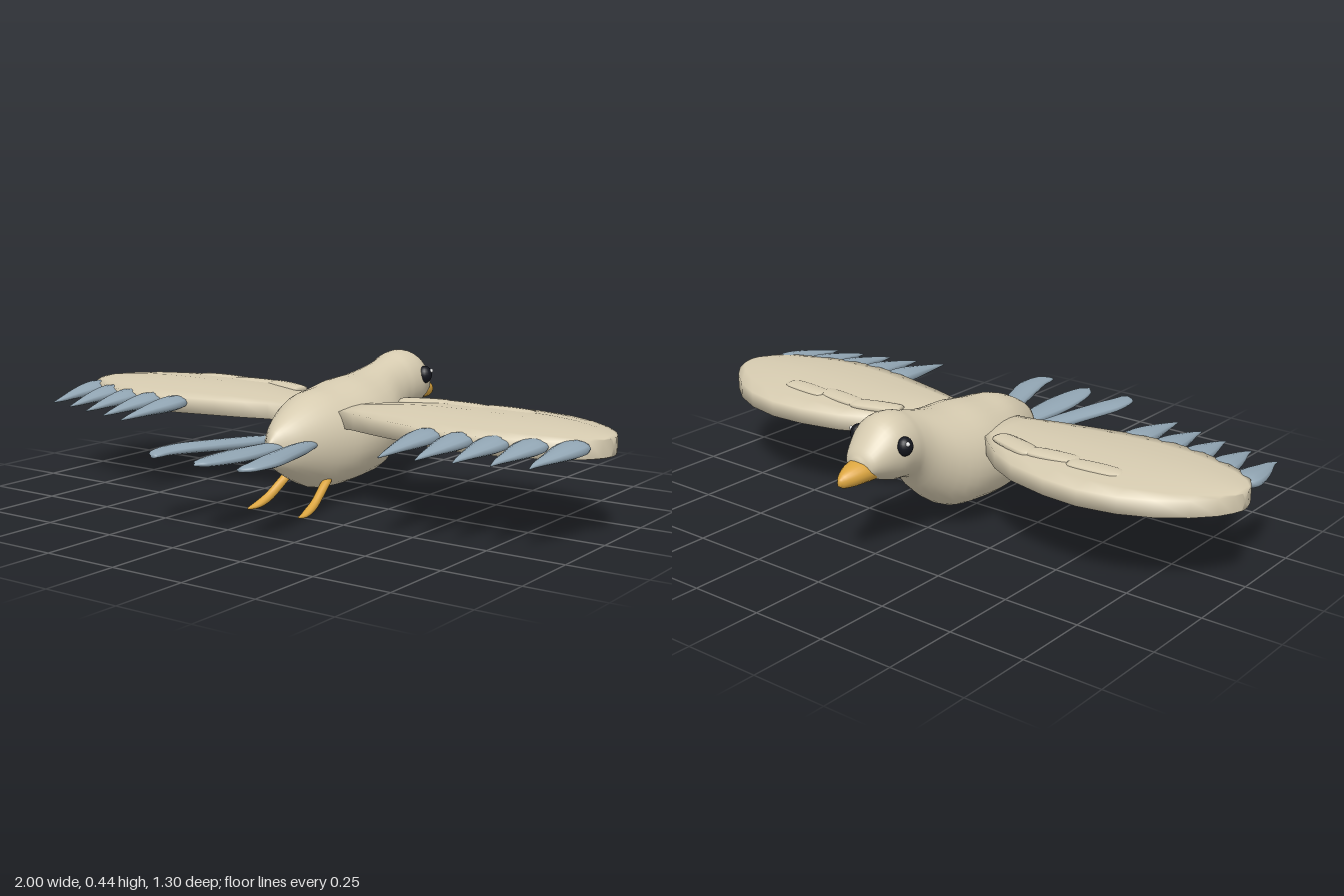
import * as THREE from 'three';

const mat = (name, color, side = THREE.FrontSide) => {
  const m = new THREE.MeshStandardMaterial({ color, side });
  m.name = name;
  return m;
};

// Skin a list of closed rings, closing both ends with a fan
function loft(rings) {
  const n = rings[0].length, pos = [], idx = [];
  rings.forEach(r => r.forEach(p => pos.push(p.x, p.y, p.z)));
  for (let i = 0; i < rings.length - 1; i++) {
    for (let j = 0; j < n; j++) {
      const a = i * n + j, b = i * n + (j + 1) % n;
      idx.push(a, b, b + n, a, b + n, a + n);
    }
  }
  [0, rings.length - 1].forEach(k => {
    const c = new THREE.Vector3();
    rings[k].forEach(p => c.addScaledVector(p, 1 / n));
    const ci = pos.length / 3;
    pos.push(c.x, c.y, c.z);
    for (let j = 0; j < n; j++) {
      const a = k * n + j, b = k * n + (j + 1) % n;
      if (k === 0) idx.push(ci, b, a);
      else idx.push(ci, a, b);
    }
  });
  const g = new THREE.BufferGeometry();
  g.setAttribute('position', new THREE.Float32BufferAttribute(pos, 3));
  g.setIndex(idx);
  g.computeVertexNormals();
  return g;
}

// Elliptical sections [x, y, z, radiusX, radiusY] in order of rising z
function sections(list, sides, steps) {
  const at = new THREE.CatmullRomCurve3(list.map(s => new THREE.Vector3(s[0], s[1], s[2])), false, 'centripetal');
  const rad = new THREE.SplineCurve(list.map(s => new THREE.Vector2(s[3], s[4])));
  const rings = [];
  for (let i = 0; i <= steps; i++) {
    const c = at.getPoint(i / steps), r = rad.getPoint(i / steps), ring = [];
    const rx = Math.max(r.x, 0.002), ry = Math.max(r.y, 0.002);
    for (let j = 0; j < sides; j++) {
      const a = j / sides * Math.PI * 2;
      ring.push(new THREE.Vector3(c.x + rx * Math.cos(a), c.y + ry * Math.sin(a), c.z));
    }
    rings.push(ring);
  }
  return loft(rings);
}

// Wing stations: x, leading z, trailing z
const WING = [
  [0.1, -0.1, 0.075], [0.17, -0.165, 0.085], [0.25, -0.23, 0.11], [0.35, -0.28, 0.134],
  [0.49, -0.311, 0.166], [0.61, -0.318, 0.178], [0.73, -0.295, 0.165], [0.83, -0.25, 0.135],
  [0.91, -0.19, 0.1], [0.965, -0.13, 0.055], [0.99, -0.085, 0.015], [1, -0.055, -0.02],
];

function wingGeometry(s) {
  const ts = [0, 0.12, 0.3, 0.5, 0.7, 0.88, 1];
  const rings = WING.map(([x, lead, trail]) => {
    const half = t => 0.026 + 0.026 * Math.sin(Math.PI * t) * Math.min(1, (trail - lead) / 0.45);
    const pt = (t, up) => new THREE.Vector3(s * x, 0.289 + up * half(t), lead + (trail - lead) * t);
    return [...ts.map(t => pt(t, 1)), ...ts.slice().reverse().map(t => pt(t, -1))];
  });
  return loft(s > 0 ? rings : rings.reverse());
}

export function createModel() {
  const bird = new THREE.Group();
  bird.name = 'bird';
  const cream = mat('cream plumage', 0xd6cbb0);
  const slate = mat('slate feathers', 0x91a5b3);
  const gold = mat('golden beak and legs', 0xdba53f);
  const black = mat('black eye', 0x14161e);
  const white = mat('white glint', 0xffffff);

  const add = (name, geometry, material, parent = bird) => {
    const m = new THREE.Mesh(geometry, material);
    m.name = name;
    parent.add(m);
    return m;
  };

  // Body and head: z, top, bottom, half width
  const profile = [
    [-0.575, 0.335, 0.29, 0.02], [-0.56, 0.36, 0.275, 0.052], [-0.53, 0.395, 0.262, 0.072],
    [-0.49, 0.432, 0.248, 0.09], [-0.45, 0.446, 0.235, 0.1], [-0.4, 0.443, 0.228, 0.098],
    [-0.36, 0.43, 0.21, 0.095], [-0.3, 0.415, 0.143, 0.11], [-0.2, 0.396, 0.07, 0.158],
    [-0.1, 0.39, 0.057, 0.175], [0, 0.375, 0.052, 0.168], [0.08, 0.368, 0.056, 0.143],
    [0.15, 0.345, 0.085, 0.113], [0.22, 0.308, 0.122, 0.075], [0.27, 0.272, 0.152, 0.035],
    [0.297, 0.236, 0.185, 0.006],
  ];
  add('body', sections(profile.map(([z, t, b, w]) => [0, (t + b) / 2, z, w, (t - b) / 2]), 32, 48), cream);

  // Beak, from the hooked tip back into the face
  add('beak', sections([
    [0, 0.283, -0.65, 0.006, 0.01], [0, 0.286, -0.635, 0.02, 0.022], [0, 0.291, -0.605, 0.036, 0.031],
    [0, 0.296, -0.565, 0.048, 0.036], [0, 0.292, -0.53, 0.05, 0.033], [0, 0.285, -0.5, 0.04, 0.022],
  ], 20, 16), gold);

  // Middle tail feather
  add('middleTailFeather', sections([
    [0, 0.216, 0.18, 0.022, 0.014], [0, 0.219, 0.3, 0.04, 0.018], [0, 0.223, 0.45, 0.053, 0.018],
    [0, 0.227, 0.56, 0.045, 0.014], [0, 0.229, 0.62, 0.028, 0.01], [0, 0.23, 0.648, 0.004, 0.004],
  ], 14, 20), slate);

  for (const s of [1, -1]) {
    const side = s > 0 ? 'left' : 'right';

    // Eye with a small glint
    const eye = add(side + 'Eye', new THREE.SphereGeometry(0.03, 18, 12), black);
    eye.position.set(s * 0.092, 0.365, -0.46);
    eye.scale.set(0.85, 1, 0.9);
    const glint = add(side + 'EyeGlint', new THREE.SphereGeometry(0.007, 10, 8), white);
    glint.position.set(s * 0.113, 0.379, -0.469);

    // Wing with its row of short covert feathers
    const wing = new THREE.Group();
    wing.name = side + 'Wing';
    bird.add(wing);
    add('wingPlate', wingGeometry(s), cream, wing);
    [[0.285, -0.168, 0.3], [0.435, -0.173, -0.12], [0.585, -0.178, -0.08]].forEach(([x, z, turn], i) => {
      const g = sections([
        [0, 0, -0.09, 0.024, 0.008], [0, 0, -0.078, 0.033, 0.012], [0, 0, 0, 0.038, 0.014],
        [0, 0, 0.07, 0.034, 0.012], [0, 0, 0.09, 0.018, 0.006],
      ], 12, 10);
      const covert = add('covert' + (i + 1), g, cream, wing);
      covert.rotation.y = s * (Math.PI / 2 + turn);
      covert.position.set(s * x, 0.328, z);
    });

    // Flight feathers along the trailing edge
    for (let i = 0; i < 5; i++) {
      const x = 0.495 + i * 0.105;
      const tip = 0.43 - i * 0.0285;
      const base = [0.115, 0.115, 0.1, 0.075, 0.03][i];
      const L = tip - base, out = s * 0.02 * (i / 4);
      add('flightFeather' + (i + 1), sections([
        [s * x + out, 0.3, base, 0.012, 0.01], [s * x + out, 0.298, base + L * 0.15, 0.046, 0.021],
        [s * x + out * 0.8, 0.294, base + L * 0.35, 0.047, 0.022],
        [s * x + out * 0.5, 0.288, base + L * 0.62, 0.03, 0.015],
        [s * x, 0.281, base + L * 0.86, 0.013, 0.008], [s * x, 0.276, tip, 0.002, 0.003],
      ], 12, 16), slate, wing);
    }

    // Outer tail feather, curling in at the tip
    add(side + 'TailFeather', sections([
      [s * 0.075, 0.222, 0.17, 0.022, 0.013], [s * 0.098, 0.225, 0.27, 0.036, 0.018],
      [s * 0.135, 0.231, 0.4, 0.042, 0.018], [s * 0.167, 0.236, 0.51, 0.045, 0.016],
      [s * 0.178, 0.237, 0.585, 0.036, 0.012], [s * 0.175, 0.236, 0.62, 0.028, 0.01],
      [s * 0.165, 0.234, 0.643, 0.012, 0.006],
    ], 14, 22), slate);

    // Leg trailing back to a tapered foot
    add(side + 'Leg', sections([
      [s * 0.078, 0.092, 0.09, 0.014, 0.01], [s * 0.08, 0.083, 0.11, 0.016, 0.015],
      [s * 0.085, 0.058, 0.145, 0.015, 0.018], [s * 0.091, 0.032, 0.185, 0.015, 0.016],
      [s * 0.096, 0.017, 0.225, 0.015, 0.012], [s * 0.1, 0.011, 0.255, 0.011, 0.007],
      [s * 0.1, 0.011, 0.275, 0.004, 0.004],
    ], 12, 18), gold);
  }
  return bird;
}
